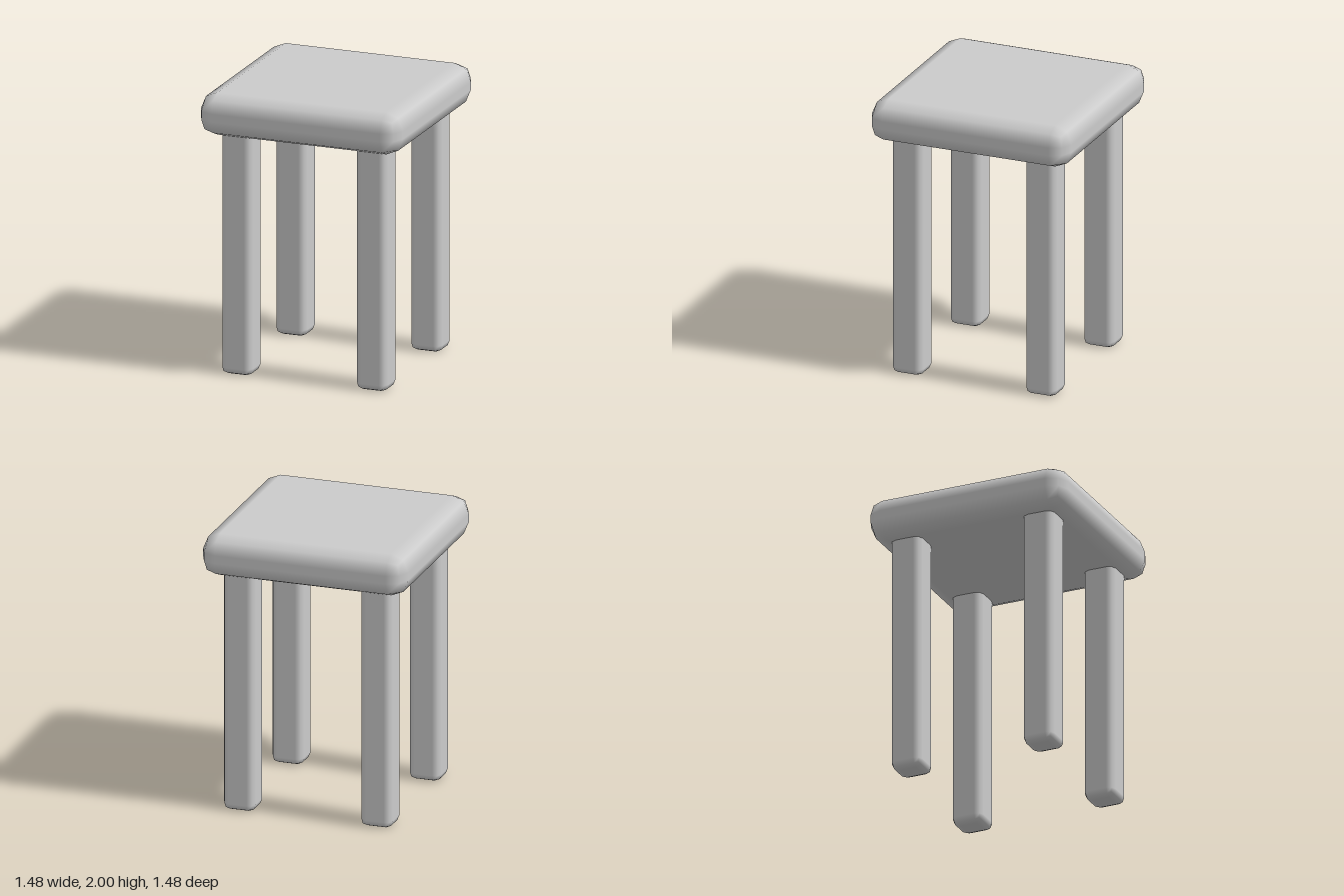
import * as THREE from 'three';
import { RoundedBoxGeometry } from 'three/addons/geometries/RoundedBoxGeometry.js';

export function createModel() {
  const stool = new THREE.Group();
  stool.name = 'stool';
  const lightGrey = new THREE.MeshStandardMaterial({ color: 0xcccccc });
  lightGrey.name = 'lightGrey';

  // Thick square seat with rounded edges
  const seat = new THREE.Mesh(new RoundedBoxGeometry(1.475, 0.3, 1.475, 1, 0.122), lightGrey);
  seat.name = 'seat';
  seat.position.y = 1.85;
  stool.add(seat);

  // Four square legs, their tops sunk into the seat
  const legHeight = 1.8;
  const legGeometry = new RoundedBoxGeometry(0.228, legHeight, 0.228, 1, 0.05);
  for (const [endName, z] of [['front', 0.493], ['back', -0.493]]) {
    for (const [sideName, x] of [['Left', 0.493], ['Right', -0.493]]) {
      const leg = new THREE.Mesh(legGeometry, lightGrey);
      leg.name = `${endName}${sideName}Leg`;
      leg.position.set(x, legHeight / 2, z);
      stool.add(leg);
    }
  }
  return stool;
}
